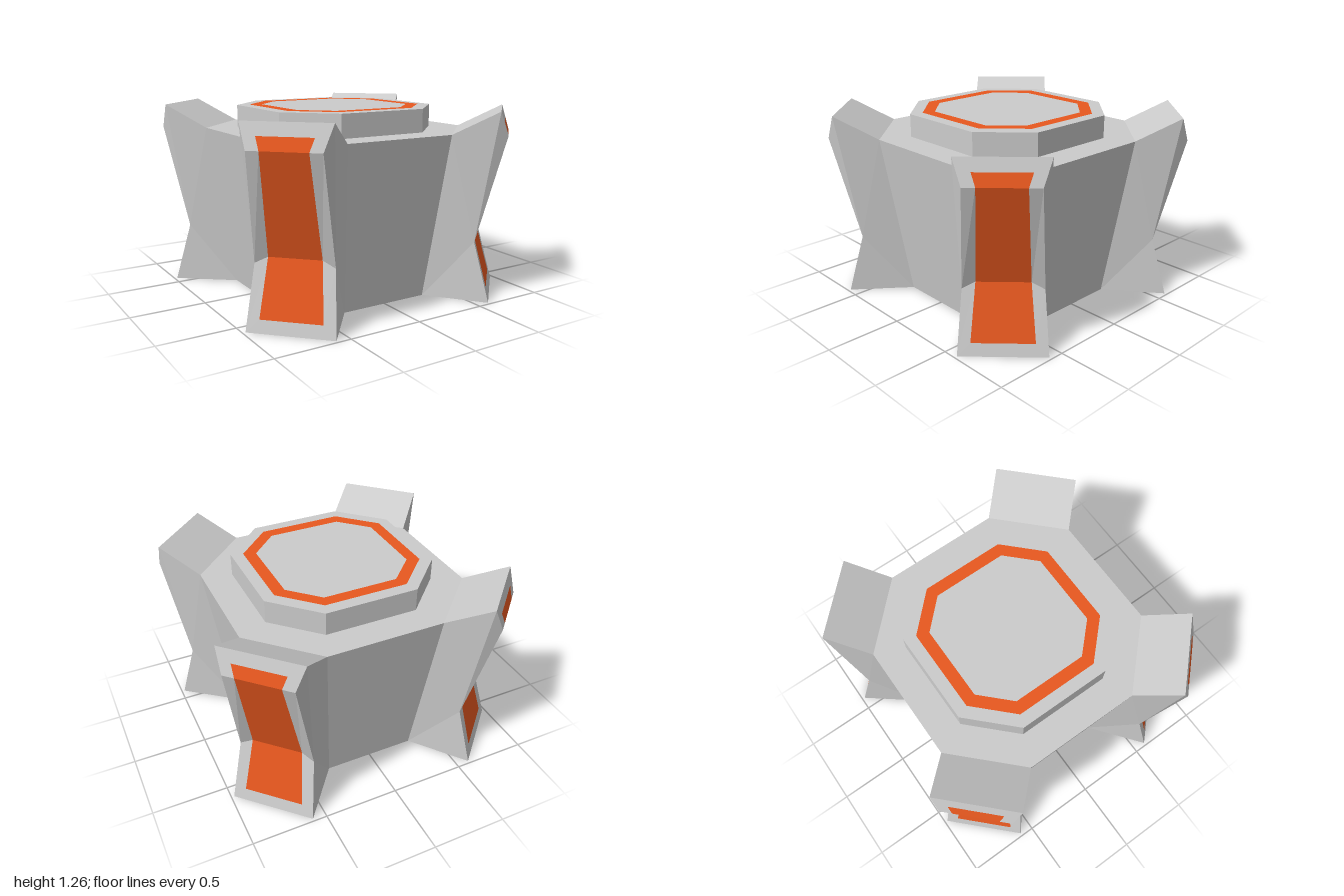
import * as THREE from 'three';

const grey = new THREE.MeshStandardMaterial({ color: 0xcccccc, flatShading: true });
const orange = new THREE.MeshStandardMaterial({ color: 0xe8581f, flatShading: true });

// Eight-sided outline: flats at distance r, straight flats ending at +-c
const octagon = ({ r, c }) => [[c, -r], [r, -c], [r, c], [c, r], [-c, r], [-r, c], [-r, -c], [-c, -r]]
  .map(([x, y]) => new THREE.Vector2(x, y));

// Geometry from convex polygons, each a counter-clockwise list of points
function faces(polygons) {
  const pos = [];
  for (const p of polygons)
    for (let i = 1; i < p.length - 1; i++) pos.push(...p[0], ...p[i], ...p[i + 1]);
  const g = new THREE.BufferGeometry();
  g.setAttribute('position', new THREE.Float32BufferAttribute(pos, 3));
  g.computeVertexNormals();
  return g;
}

function addMesh(parent, name, geometry, material = grey) {
  const m = new THREE.Mesh(geometry, material);
  m.name = name;
  parent.add(m);
  return m;
}

// Body outlines at the floor and at the deck
const floor = { y: 0, r: 0.632, c: 0.312 };
const deck = { y: 1.106, r: 0.79, c: 0.395 };

// Corner buttress points: [half width, height, distance from centre]
const root = ({ y, r, c }) => [(r - c) / Math.SQRT2, y, (r + c) / Math.SQRT2];
const footIn = root(floor), topIn = root(deck);
const outer = [[0.277, 0, 1.11], [0.249, 0.4, 1.003], [0.223, 1.1, 1.188], [0.275, 1.26, 1.138]];
const inner = [[0.196, 0.08, 1.089], [0.167, 0.44, 0.992], [0.144, 1.1, 1.188], [0.17, 1.18, 1.163]];
const L = ([w, y, d]) => [-w, y, d];
const R = (p) => p;
const quad = (low, high) => [L(low), R(low), R(high), L(high)];

function buttress() {
  const g = new THREE.Group();
  const [foot, waist, brow, tip] = outer;
  const side = [[topIn, tip, waist], [tip, brow, waist], [topIn, waist, footIn], [footIn, waist, foot]];
  const shell = [
    ...side,
    ...side.map((t) => t.map(L).reverse()),
    quad(tip, topIn),
    quad(footIn, foot),
    // frame around the coloured panel
    quad(foot, inner[0]),
    quad(inner[3], tip),
  ];
  for (let i = 0; i < 3; i++) {
    const strip = [inner[i], outer[i], outer[i + 1], inner[i + 1]];
    shell.push(strip, strip.map(L).reverse());
  }
  addMesh(g, 'buttressShell', faces(shell));
  addMesh(g, 'buttressPanel', faces([0, 1, 2].map((i) => quad(inner[i], inner[i + 1]))), orange);
  return g;
}

export function createModel() {
  const model = new THREE.Group();
  model.name = 'pedestal';

  // Four walls leaning outwards and four buttresses on the diagonals
  const wall = faces([quad([floor.c, floor.y, floor.r], [deck.c, deck.y, deck.r])]);
  for (let i = 0; i < 4; i++) {
    addMesh(model, 'wall', wall).rotation.y = i * Math.PI / 2;
    const b = buttress();
    b.name = 'cornerButtress';
    b.rotation.y = (i + 0.5) * Math.PI / 2;
    model.add(b);
  }

  // Deck and underside
  const top = new THREE.ShapeGeometry(new THREE.Shape(octagon(deck)));
  addMesh(model, 'deck', top.rotateX(-Math.PI / 2).translate(0, deck.y, 0));
  const base = new THREE.ShapeGeometry(new THREE.Shape(octagon(floor)));
  addMesh(model, 'underside', base.rotateX(Math.PI / 2));

  // Raised platform with a coloured ring
  const platform = new THREE.ExtrudeGeometry(new THREE.Shape(octagon({ r: 0.592, c: 0.312 })),
    { depth: 1.26 - deck.y, bevelEnabled: false });
  addMesh(model, 'platform', platform.rotateX(-Math.PI / 2).translate(0, deck.y, 0));
  const ringShape = new THREE.Shape(octagon({ r: 0.513, c: 0.28 }));
  ringShape.holes.push(new THREE.Path(octagon({ r: 0.433, c: 0.25 }).reverse()));
  const ring = new THREE.ShapeGeometry(ringShape);
  addMesh(model, 'platformRing', ring.rotateX(-Math.PI / 2).translate(0, 1.262, 0), orange);

  return model;
}
